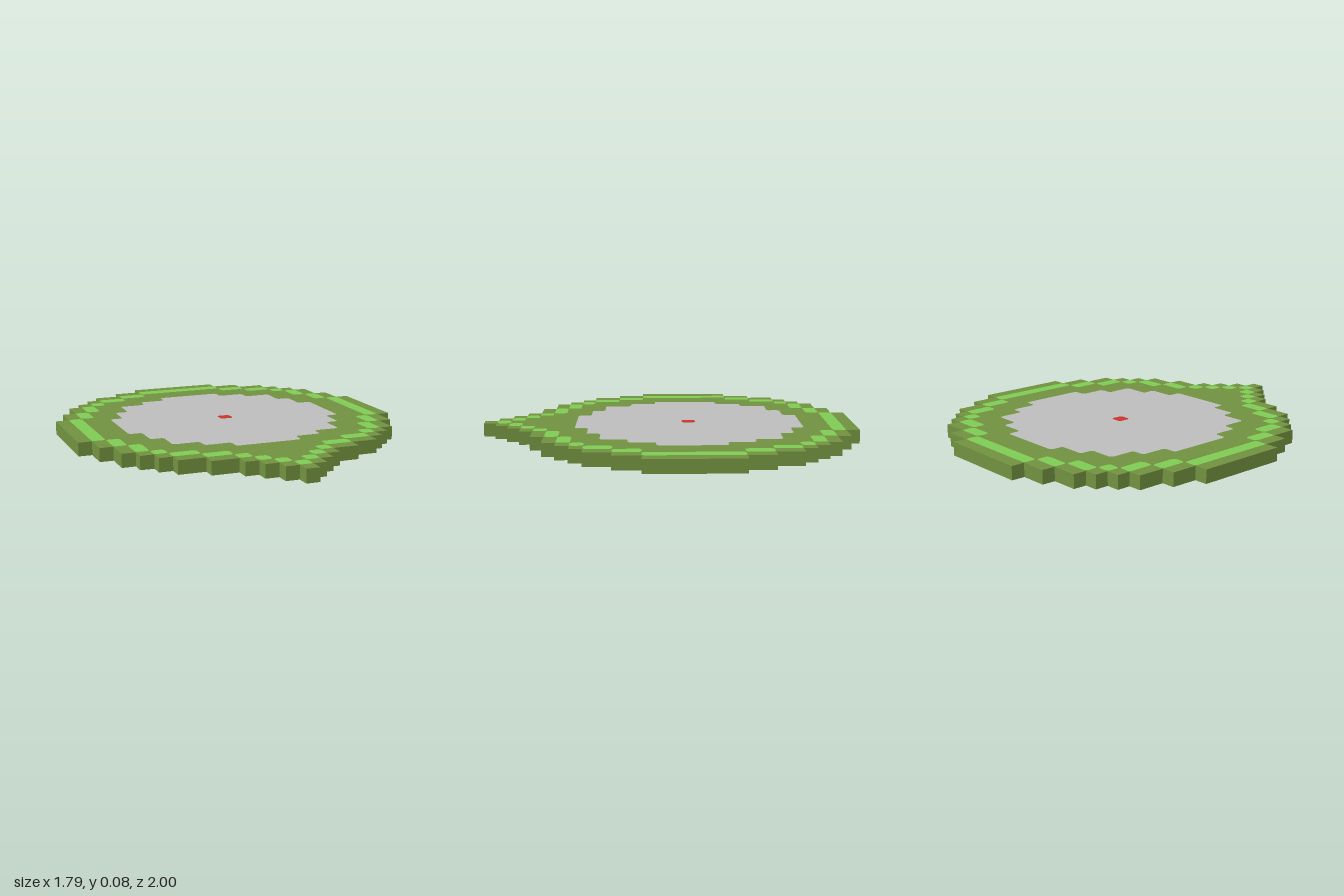
import * as THREE from 'three';
import { mergeGeometries } from 'three/addons/utils/BufferGeometryUtils.js';

const CELL = 1 / 14; // one square of the pixel grid
const LIFT = 0.001; // painted faces sit just proud of the slab

// Half-widths in whole cells either side of the centre column, back row to front row
const BODY_ROWS = [3, 5, 7, 8, 9, 10, 10, 11, 11, 12, 12, 12, 12, 12, 12, 12,
  11, 11, 10, 10, 9, 8, 7, 5, 3, 2, 1, 0];
const CENTRE_ROWS = [2, 4, 6, 6, 7, 7, 8, 8, 8, 8, 8, 7, 7, 6, 6, 4, 2];
const CENTRE_START = 4;

// Border patches: first row, last row, first column, last column (mirrored in x)
const BORDER = [
  [2, 2, 4, 5], [3, 3, 6, 7], [4, 4, 8, 8], [5, 6, 9, 9], [7, 8, 10, 10],
  [9, 15, 11, 11], [16, 17, 10, 10], [18, 19, 9, 9], [20, 20, 8, 8],
  [21, 21, 6, 7], [22, 22, 4, 5], [23, 23, 3, 3], [24, 24, 2, 2], [25, 25, 1, 1],
];

const rowZ = (row) => -1 + row * CELL;

// Stepped symmetric outline as [x, z] points
function steppedOutline(rows, startRow) {
  const side = [];
  rows.forEach((n, i) => {
    const x = (n + 0.5) * CELL;
    if (i === 0 || rows[i - 1] !== n) side.push([x, rowZ(startRow + i)]);
    if (i === rows.length - 1 || rows[i + 1] !== n) side.push([x, rowZ(startRow + i + 1)]);
  });
  return [...side, ...side.map(([x, z]) => [-x, z]).reverse()];
}

function rectangle(r0, r1, c0, c1) {
  const x0 = (c0 - 0.5) * CELL, x1 = (c1 + 0.5) * CELL;
  const z0 = rowZ(r0), z1 = rowZ(r1 + 1);
  return [[x0, z0], [x1, z0], [x1, z1], [x0, z1]];
}

// Clip every corner by a small amount
function clipCorners(points, cut = 0.012) {
  const toward = (a, b) => {
    const t = cut / Math.hypot(b[0] - a[0], b[1] - a[1]);
    return [a[0] + (b[0] - a[0]) * t, a[1] + (b[1] - a[1]) * t];
  };
  const n = points.length;
  return points.flatMap((p, i) => [
    toward(p, points[(i + n - 1) % n]),
    toward(p, points[(i + 1) % n]),
  ]);
}

const toShape = (points, sign) =>
  new THREE.Shape(points.map(([x, z]) => new THREE.Vector2(x, sign * z)));

// Flat painted faces on the top and the underside
function paintedFaces(outlines, lift) {
  return mergeGeometries(outlines.flatMap((points) => [
    new THREE.ShapeGeometry(toShape(points, -1)).rotateX(-Math.PI / 2).translate(0, CELL + lift, 0),
    new THREE.ShapeGeometry(toShape(points, 1)).rotateX(Math.PI / 2).translate(0, -lift, 0),
  ]));
}

export function createModel() {
  const material = (name, color) => {
    const m = new THREE.MeshStandardMaterial({ color });
    m.name = name;
    return m;
  };
  const group = new THREE.Group();
  group.name = 'pixelPlate';
  const add = (name, geometry, mat) => {
    const mesh = new THREE.Mesh(geometry, mat);
    mesh.name = name;
    group.add(mesh);
  };

  // Slab with the stepped teardrop outline
  const slab = new THREE.ExtrudeGeometry(toShape(steppedOutline(BODY_ROWS, 0), -1), {
    depth: CELL, bevelEnabled: false,
  }).rotateX(-Math.PI / 2);
  add('slab', slab, material('olive green', 0x71913f));

  // Light border, made of clipped patches
  const patches = [rectangle(1, 1, -3, 3), rectangle(26, 26, 0, 0)];
  for (const [r0, r1, c0, c1] of BORDER) {
    patches.push(rectangle(r0, r1, c0, c1), rectangle(r0, r1, -c1, -c0));
  }
  add('border', paintedFaces(patches.map((p) => clipCorners(p)), LIFT),
    material('light green', 0x7ecb54));

  // Grey disc and the red dot in its middle
  add('centreDisc', paintedFaces([clipCorners(steppedOutline(CENTRE_ROWS, CENTRE_START))], LIFT),
    material('grey', 0xbcbcbc));
  add('centreDot', paintedFaces([clipCorners(rectangle(12, 12, 0, 0))], LIFT * 2),
    material('red', 0xc8352a));

  return group;
}
